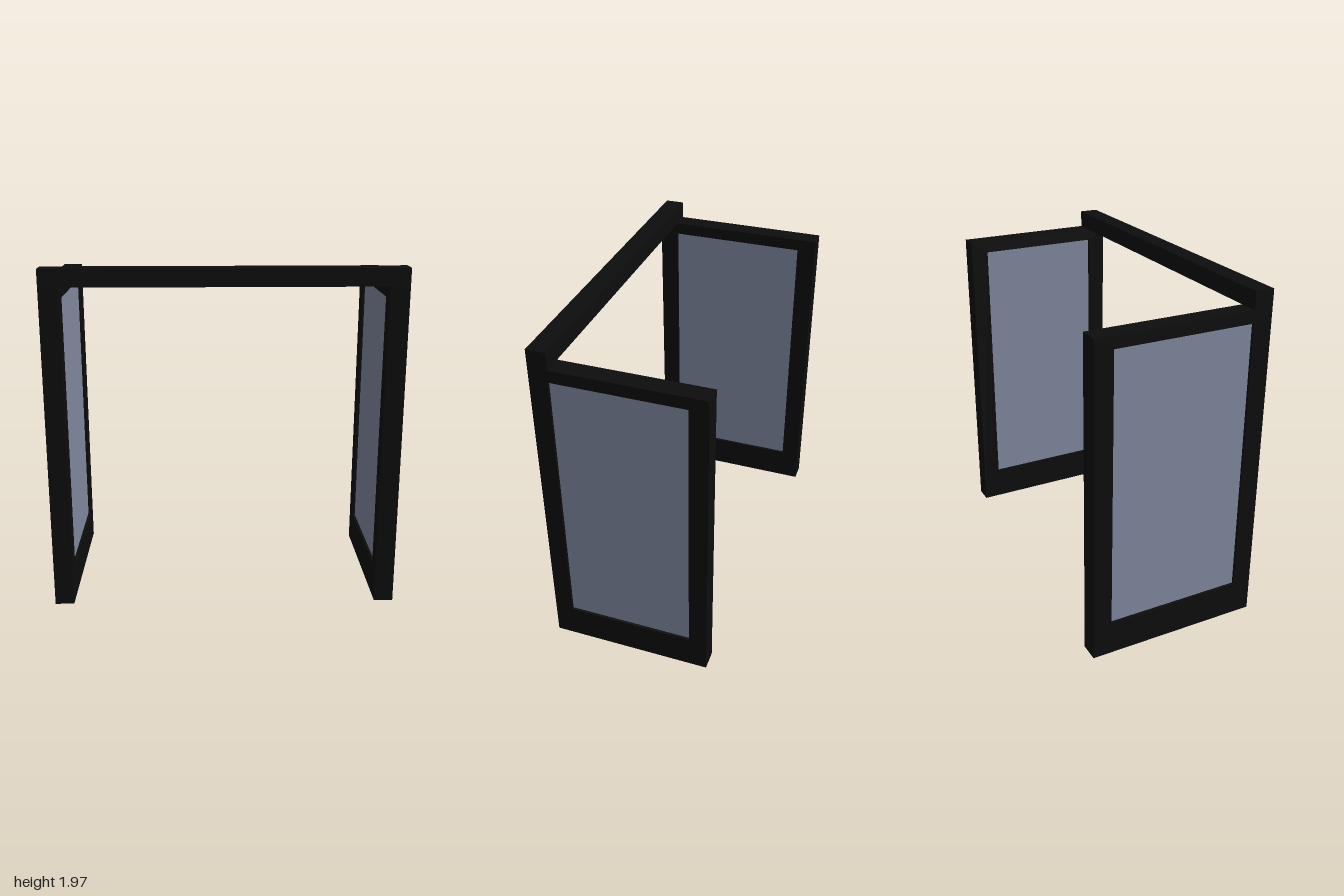
import * as THREE from 'three';

const FRONT = 0.51, POST = 0.11, PANEL_TOP = 1.87, TOP = 1.97;
const SILL = 0.2, HEAD = 1.8, RECESS = 0.015;

const frameMaterial = new THREE.MeshStandardMaterial({ color: 0x0d0d0d });
const glassMaterial = new THREE.MeshStandardMaterial({ color: 0x808aa0 });

function box(name, material, [x0, x1], [y0, y1], [z0, z1]) {
  const geometry = new THREE.BoxGeometry(x1 - x0, y1 - y0, z1 - z0);
  geometry.translate((x0 + x1) / 2, (y0 + y1) / 2, (z0 + z1) / 2);
  const mesh = new THREE.Mesh(geometry, material);
  mesh.name = name;
  return mesh;
}

// Rectangular outline drawn in z (across) and y (up)
function rectangle(path, z0, z1, y0, y1) {
  path.moveTo(z0, y0);
  path.lineTo(z1, y0);
  path.lineTo(z1, y1);
  path.lineTo(z0, y1);
  path.closePath();
  return path;
}

// Side wall: thick frame with one window opening, and a slightly recessed pane
function sideWall(name, outerX, back, glassBack, glassFront) {
  const wall = new THREE.Group();
  wall.name = name;

  const shape = rectangle(new THREE.Shape(), back, FRONT, 0, PANEL_TOP);
  shape.holes.push(rectangle(new THREE.Path(), glassBack, glassFront, SILL, HEAD));
  const geometry = new THREE.ExtrudeGeometry(shape, { depth: POST, bevelEnabled: false });
  geometry.rotateY(-Math.PI / 2);
  const maxX = outerX > 0 ? outerX : outerX + POST;
  geometry.translate(maxX, 0, 0);
  const frame = new THREE.Mesh(geometry, frameMaterial);
  frame.name = 'wallFrame';

  const pane = box('glassPane', glassMaterial,
    [maxX - POST + RECESS, maxX - RECESS], [SILL, HEAD], [glassBack, glassFront]);
  wall.add(frame, pane);
  return wall;
}

export function createModel() {
  const model = new THREE.Group();
  model.name = 'glazedPortal';

  // The left wall is a little shallower than the right one
  model.add(sideWall('leftWall', 1, -0.43, -0.325, 0.405));
  model.add(sideWall('rightWall', -1, -0.51, -0.4, 0.4));

  // Beam resting on the front ends of both walls
  model.add(box('frontBeam', frameMaterial, [-1, 1], [PANEL_TOP, TOP], [FRONT - POST, FRONT]));
  return model;
}
